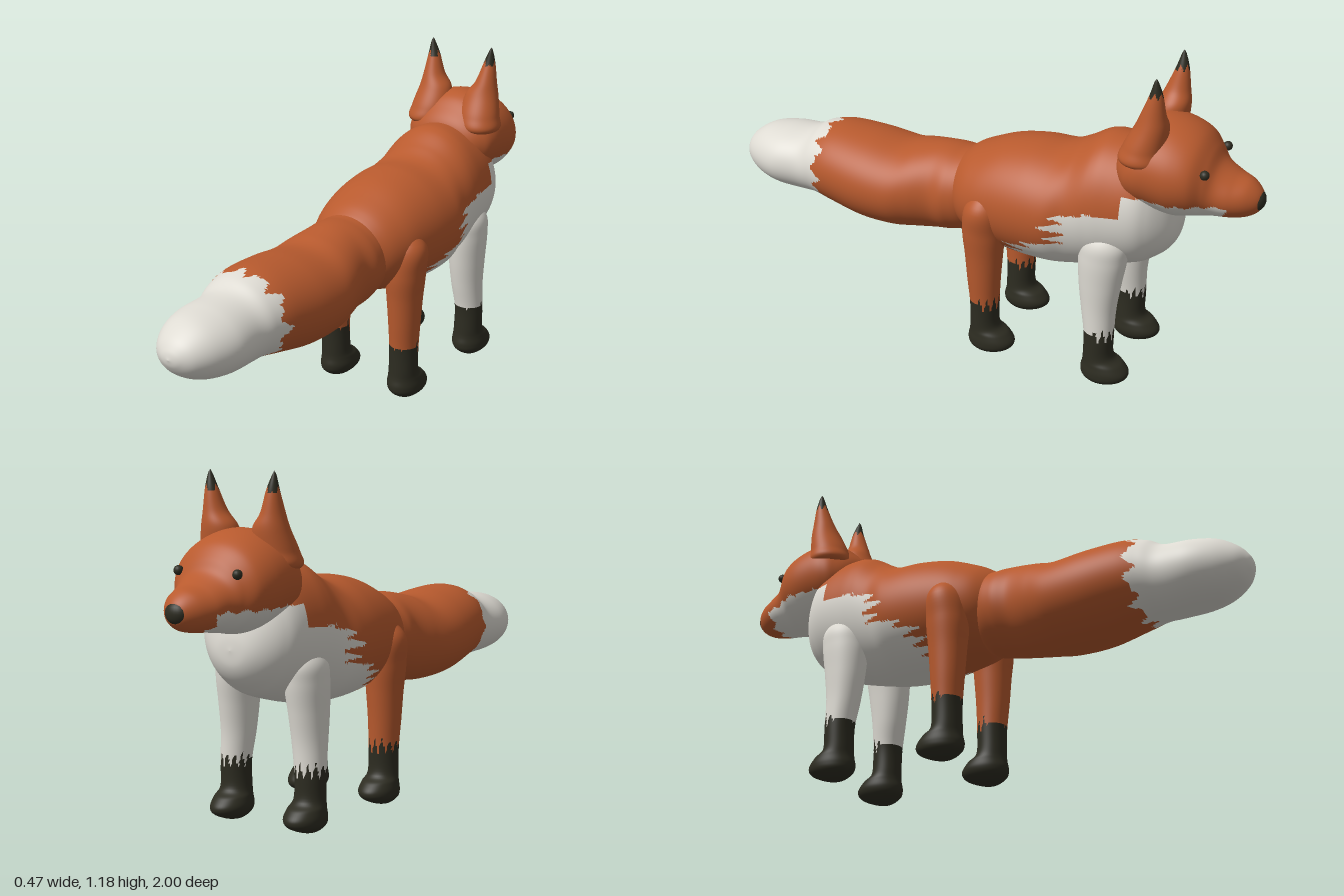
import * as THREE from 'three';

const mat = (name, color) => {
  const m = new THREE.MeshStandardMaterial({ color });
  m.name = name;
  return m;
};

// zigzag wave between -1 and 1, used for ragged fur borders
const zig = (t) => 4 * Math.abs(t - Math.floor(t + 0.5)) - 1;

// placing of (u, v, t) for lofts running along z or along y
const alongZ = (u, v, t) => [u, v, t];
const alongY = (u, v, t) => [v, t, u];

// Smooth loft through oval sections [t, centreU, radiusU, minV, maxV];
// colourOf(x, y, z) gives the material index of each face.
function loft(sections, place, segs, steps, colourOf) {
  const smooth = (f) => new THREE.CatmullRomCurve3(
    sections.map((s) => new THREE.Vector3(...f(s))), false, 'catmullrom', 0.5);
  const c1 = smooth((s) => [s[0], s[1], s[2]]);
  const c2 = smooth((s) => [s[0], s[3], s[4]]);
  const rings = (sections.length - 1) * steps;
  const pos = [];
  for (let i = 0; i <= rings; i++) {
    const a = c1.getPoint(i / rings), b = c2.getPoint(i / rings);
    const ru = Math.max(a.z, 0), rv = Math.max((b.z - b.y) / 2, 0);
    for (let j = 0; j < segs; j++) {
      const q = (j / segs) * Math.PI * 2;
      pos.push(...place(a.y + ru * Math.cos(q), (b.y + b.z) / 2 + rv * Math.sin(q), a.x));
    }
  }
  const byColour = [[], [], []];
  const addFace = (...f) => {
    const m = [0, 1, 2].map((k) => (pos[f[0] * 3 + k] + pos[f[1] * 3 + k] + pos[f[2] * 3 + k]) / 3);
    byColour[colourOf(...m)].push(...f);
  };
  for (let i = 0; i < rings; i++) {
    for (let j = 0; j < segs; j++) {
      const a = i * segs + j, b = i * segs + ((j + 1) % segs);
      addFace(a, b, b + segs);
      addFace(a, b + segs, a + segs);
    }
  }
  const geo = new THREE.BufferGeometry();
  geo.setAttribute('position', new THREE.Float32BufferAttribute(pos, 3));
  geo.setIndex(byColour.flat());
  let start = 0;
  byColour.forEach((list, k) => {
    if (list.length) geo.addGroup(start, list.length, k);
    start += list.length;
  });
  geo.computeVertexNormals();
  return geo;
}

// rear limit of the white chest fur at each height: [y, z]
const BIB = [[0.38, -0.13], [0.45, -0.17], [0.5, -0.2], [0.55, -0.34], [0.58, -0.37],
  [0.61, -0.31], [0.65, -0.37], [0.68, -0.42], [0.685, -0.57], [0.76, -0.57]];
function bibLimit(y) {
  if (y >= 0.76) return -9;
  for (let i = 1; i < BIB.length; i++) {
    const [y0, z0] = BIB[i - 1], [y1, z1] = BIB[i];
    if (y < y1) return z0 + (z1 - z0) * Math.max(0, (y - y0) / (y1 - y0));
  }
  return -9;
}

export function createModel() {
  const fox = new THREE.Group();
  fox.name = 'fox';
  const ORANGE = 0, WHITE = 1, DARK = 2;
  const mats = [mat('orangeFur', 0xb85a2e), mat('whiteFur', 0xdedbd3), mat('darkFur', 0x2d2c21)];
  const add = (name, geo, material = mats, parent = fox) => {
    const m = new THREE.Mesh(geo, material);
    m.name = name;
    parent.add(m);
    return m;
  };

  // colour rules
  const bodyColour = (x, y, z) => {
    const rag = y < 0.68 ? 0.045 * zig(y * 24 + Math.abs(x) * 9) : 0;
    return z < bibLimit(y) + rag ? WHITE : ORANGE;
  };
  const headColour = (x, y, z) =>
    (y < 0.76 + 0.006 * zig(z * 18) && z > -0.89 + 0.015 * zig(x * 20) && z < -0.57 ? WHITE : ORANGE);
  const tailColour = (x, y, z) => {
    const q = Math.atan2(y - 0.54, x) / (Math.PI * 2);
    return z > 0.625 + 0.02 * zig(q * 11) + 0.012 * zig(q * 19) ? WHITE : ORANGE;
  };

  // torso with chest and hips
  add('body', loft([
    [-0.722, 0, 0, 0.615, 0.615], [-0.715, 0, 0.06, 0.56, 0.67], [-0.69, 0, 0.115, 0.515, 0.76],
    [-0.65, 0, 0.162, 0.48, 0.84], [-0.6, 0, 0.19, 0.45, 0.885], [-0.5, 0, 0.205, 0.42, 0.9],
    [-0.44, 0, 0.21, 0.405, 0.892], [-0.37, 0, 0.215, 0.39, 0.85], [-0.3, 0, 0.232, 0.385, 0.817],
    [-0.2, 0, 0.23, 0.385, 0.812], [-0.1, 0, 0.217, 0.395, 0.795], [-0.02, 0, 0.2, 0.41, 0.765],
    [0.05, 0, 0.165, 0.44, 0.73], [0.1, 0, 0.1, 0.5, 0.68], [0.13, 0, 0, 0.58, 0.58],
  ], alongZ, 144, 9, bodyColour));

  // bushy tail
  add('tail', loft([
    [-0.02, 0, 0, 0.57, 0.57], [0.02, 0, 0.13, 0.43, 0.7], [0.1, 0, 0.163, 0.4, 0.712],
    [0.17, 0, 0.158, 0.385, 0.713], [0.25, 0, 0.178, 0.375, 0.7], [0.33, 0, 0.195, 0.367, 0.684],
    [0.45, 0, 0.197, 0.37, 0.695], [0.58, 0, 0.18, 0.395, 0.7], [0.66, 0, 0.16, 0.41, 0.685],
    [0.72, 0, 0.148, 0.41, 0.655], [0.82, 0, 0.15, 0.415, 0.645], [0.9, 0, 0.125, 0.43, 0.63],
    [0.96, 0, 0.085, 0.463, 0.595], [0.99, 0, 0.04, 0.5, 0.56], [1, 0, 0, 0.53, 0.53],
  ], alongZ, 96, 8, tailColour));

  // head with muzzle
  const head = new THREE.Group();
  head.name = 'head';
  fox.add(head);
  add('skull', loft([
    [-0.992, 0, 0, 0.765, 0.765], [-0.985, 0, 0.035, 0.73, 0.797], [-0.95, 0, 0.07, 0.705, 0.828],
    [-0.9, 0, 0.098, 0.695, 0.845], [-0.85, 0, 0.115, 0.69, 0.875], [-0.82, 0, 0.135, 0.685, 0.92],
    [-0.78, 0, 0.17, 0.68, 0.963], [-0.72, 0, 0.188, 0.67, 0.99], [-0.65, 0, 0.19, 0.68, 1.0],
    [-0.6, 0, 0.185, 0.69, 0.985], [-0.56, 0, 0.165, 0.71, 0.95], [-0.52, 0, 0.11, 0.76, 0.9],
    [-0.5, 0, 0, 0.83, 0.83],
  ], alongZ, 96, 8, headColour), mats, head);
  const nose = add('nose', new THREE.SphereGeometry(1, 24, 16), mats[DARK], head);
  nose.scale.set(0.042, 0.037, 0.03);
  nose.position.set(0, 0.763, -0.97);

  // paired parts: sections are [y, centreZ, radiusZ, innerX, outerX]
  const EAR = [[0.85, -0.61, 0, 0.11, 0.11], [0.88, -0.608, 0.072, 0.05, 0.186],
    [0.93, -0.615, 0.07, 0.03, 0.182], [1.0, -0.635, 0.056, 0.04, 0.165],
    [1.05, -0.642, 0.041, 0.075, 0.154], [1.12, -0.65, 0.022, 0.1, 0.143],
    [1.165, -0.65, 0.008, 0.119, 0.134], [1.18, -0.65, 0, 0.127, 0.127]];
  const PAW = [[0.004, -0.075, 0, 0.16, 0.16], [0.008, -0.075, 0.035, 0.125, 0.185],
    [0.03, -0.085, 0.077, 0.095, 0.212], [0.055, -0.088, 0.087, 0.085, 0.217],
    [0.085, -0.08, 0.073, 0.09, 0.212], [0.115, -0.063, 0.054, 0.098, 0.206],
    [0.2, -0.062, 0.053, 0.1, 0.206]];
  const HIND = [[0.3, -0.06, 0.06, 0.098, 0.213], [0.4, -0.06, 0.068, 0.092, 0.22],
    [0.5, -0.06, 0.076, 0.085, 0.23], [0.6, -0.065, 0.065, 0.09, 0.231], [0.68, -0.07, 0, 0.15, 0.15]];
  const FRONT = [[0.3, -0.055, 0.062, 0.088, 0.205], [0.4, -0.055, 0.075, 0.078, 0.208],
    [0.5, -0.06, 0.085, 0.07, 0.21], [0.57, -0.065, 0.075, 0.08, 0.2], [0.64, -0.07, 0, 0.14, 0.14]];

  for (const [side, s] of [['left', 1], ['right', -1]]) {
    const mirror = (list, dz = 0) => list.map(([y, z, r, a, b]) =>
      [y, z + dz, r, s > 0 ? a : -b, s > 0 ? b : -a]);

    // dark-tipped ears
    add(side + 'Ear', loft(mirror(EAR), alongY, 48, 8, (x, y, z) =>
      (y > 1.122 + 0.012 * zig(z * 40 + x * 25) ? DARK : ORANGE)), mats, head);

    // eyes
    const eye = add(side + 'Eye', new THREE.SphereGeometry(0.016, 16, 12), mats[DARK], head);
    eye.position.set(s * 0.116, 0.873, -0.825);

    // legs with dark stockings, ragged towards the toes
    const legColour = (zc, upper) => (x, y, z) => {
      const q = Math.atan2(x - s * 0.15, z - zc) / (Math.PI * 2);
      const rag = z < zc ? 0.026 : 0.004;
      return y < 0.212 + rag * zig(q * 13) ? DARK : upper;
    };
    add(side + 'FrontLeg', loft(mirror([...PAW, ...FRONT], -0.44), alongY, 48, 7, legColour(-0.5, WHITE)));
    add(side + 'HindLeg', loft(mirror([...PAW, ...HIND]), alongY, 48, 7, legColour(-0.06, ORANGE)));
  }
  return fox;
}
